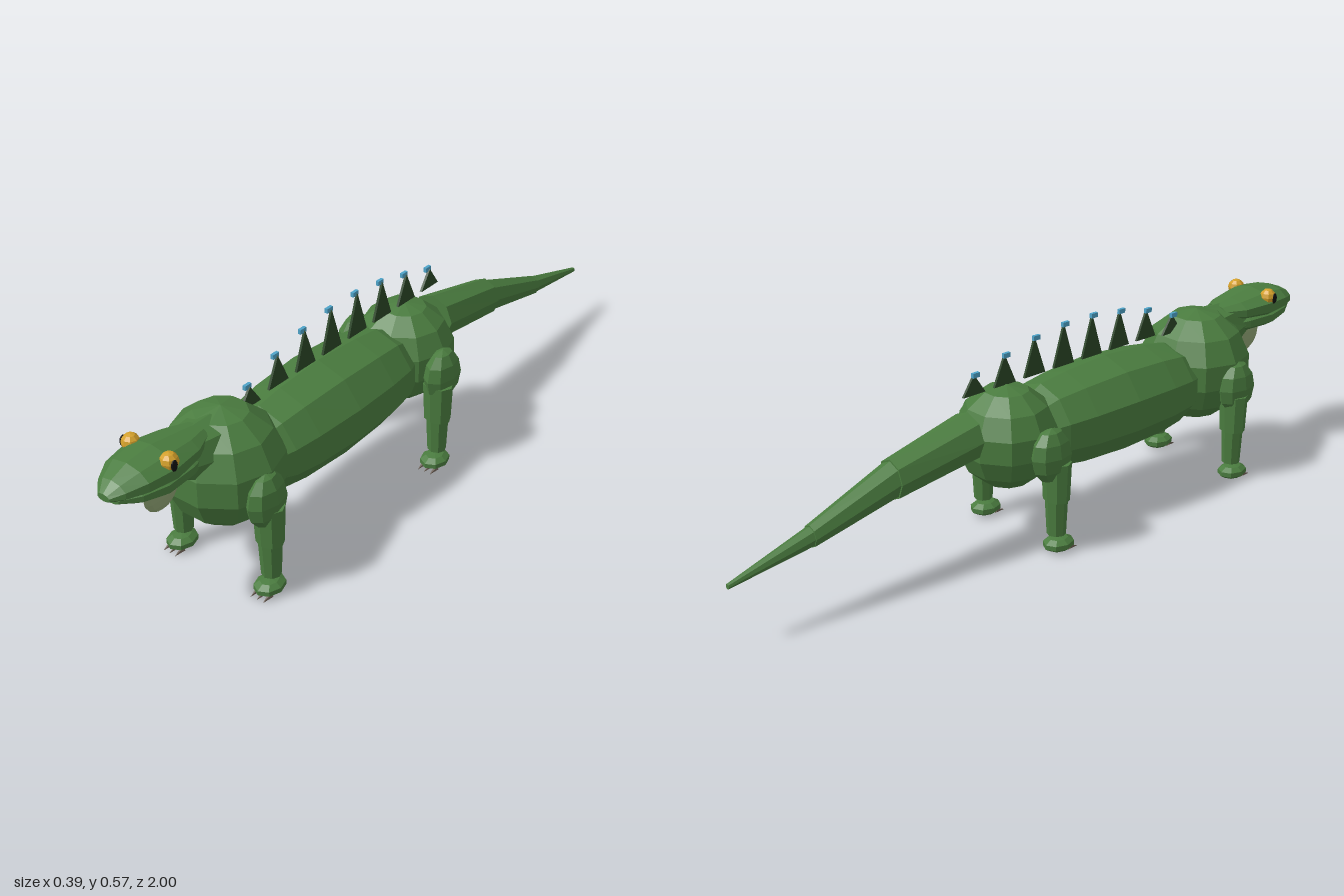
import * as THREE from 'three';

const mat = (name, color) => {
  const m = new THREE.MeshStandardMaterial({ color, flatShading: true });
  m.name = name;
  return m;
};

// Closed loft along z from sections [z, centreY, radiusX, radiusY], z rising
function loft(sections, sides) {
  const pos = [], index = [];
  for (const [z, y, rx, ry] of sections) {
    for (let j = 0; j < sides; j++) {
      const a = (j / sides) * Math.PI * 2 + Math.PI / 2;
      pos.push(Math.cos(a) * rx, y + Math.sin(a) * ry, z);
    }
  }
  const last = (sections.length - 1) * sides, c0 = last + sides, c1 = c0 + 1;
  pos.push(0, sections[0][1], sections[0][0]);
  pos.push(0, sections.at(-1)[1], sections.at(-1)[0]);
  for (let j = 0; j < sides; j++) {
    const k = (j + 1) % sides;
    for (let i = 0; i < last; i += sides) {
      index.push(i + j, i + k, i + sides + k, i + j, i + sides + k, i + sides + j);
    }
    index.push(c0, k, j, c1, last + j, last + k);
  }
  const g = new THREE.BufferGeometry();
  g.setAttribute('position', new THREE.Float32BufferAttribute(pos, 3));
  g.setIndex(index);
  g.computeVertexNormals();
  return g;
}

export function createModel() {
  const root = new THREE.Group();
  root.name = 'lizard';
  const skin = mat('green skin', 0x4a7c3f);
  const dark = mat('dark green spines', 0x2a4526);
  const blue = mat('blue spine tips', 0x4ea3c8);
  const gold = mat('gold eyes', 0xd4a02a);
  const black = mat('black pupils', 0x111111);
  const pale = mat('pale dewlap', 0x8fa373);
  const claw = mat('grey claws', 0x6a5d52);

  const add = (name, geo, material, parent = root) => {
    const m = new THREE.Mesh(geo, material);
    m.name = name;
    parent.add(m);
    return m;
  };
  const ball = (name, [x, y, z], [rx, ry, rz], material, parent = root, w = 10, h = 7) =>
    add(name, new THREE.SphereGeometry(1, w, h).scale(rx, ry, rz).translate(x, y, z), material, parent);

  // Trunk
  add('belly', loft([
    [-0.04, 0.3, 0.108, 0.1], [0, 0.3, 0.125, 0.12], [0.09, 0.3, 0.138, 0.132], [0.24, 0.302, 0.147, 0.139],
    [0.39, 0.3, 0.138, 0.132], [0.47, 0.3, 0.127, 0.12], [0.52, 0.3, 0.108, 0.1],
  ], 10), skin);
  ball('chest', [0, 0.328, 0.605], [0.163, 0.164, 0.158], skin);
  ball('hips', [0, 0.308, -0.122], [0.143, 0.144, 0.14], skin);

  // Tail in three stepped tapers
  [
    [[-0.51, 0.296, 0.05, 0.056], [-0.255, 0.343, 0.066, 0.066]],
    [[-0.76, 0.222, 0.028, 0.03], [-0.505, 0.298, 0.046, 0.051]],
    [[-1, 0.171, 0.007, 0.007], [-0.755, 0.223, 0.026, 0.027]],
  ].forEach((s, i) => add(`tailSegment${i + 1}`, loft(s, 8), skin));

  // Neck, head and jaw
  add('neck', loft([[0.64, 0.405, 0.085, 0.08], [0.75, 0.418, 0.062, 0.066], [0.8, 0.435, 0.055, 0.045]], 8), skin);
  add('head', loft([
    [0.69, 0.462, 0.04, 0.02], [0.75, 0.458, 0.07, 0.034], [0.84, 0.46, 0.088, 0.045],
    [0.92, 0.458, 0.074, 0.039], [0.97, 0.451, 0.047, 0.026], [0.998, 0.444, 0.02, 0.01],
  ], 10), skin);
  add('jaw', loft([
    [0.7, 0.42, 0.045, 0.02], [0.77, 0.421, 0.07, 0.033], [0.86, 0.421, 0.077, 0.035],
    [0.93, 0.427, 0.062, 0.026], [0.98, 0.432, 0.03, 0.012],
  ], 10), skin);
  ball('dewlap', [0, 0.367, 0.82], [0.011, 0.06, 0.06], pale, root, 8, 8);

  // Row of thin back spines with blue tips
  for (let i = 0; i < 8; i++) {
    const z = 0.505 - i * 0.105, y = i === 0 ? 0.44 : 0.45;
    const h = 0.055 + 0.065 * Math.sin((i / 7) * Math.PI);
    const tri = new THREE.Shape([
      new THREE.Vector2(-0.037, 0), new THREE.Vector2(0.037, 0), new THREE.Vector2(0, h),
    ]);
    const geo = new THREE.ExtrudeGeometry(tri, { depth: 0.007, bevelEnabled: false });
    add('spine', geo.rotateY(Math.PI / 2).translate(0, y, z), dark);
    add('spineTip', new THREE.BoxGeometry(0.009, 0.013, 0.022).translate(-0.001, y + h, z + 0.003), blue);
  }

  for (const s of [-1, 1]) {
    const side = s > 0 ? 'left' : 'right';

    // Eye with a dark pupil on its outer side
    ball(`${side}Eye`, [s * 0.062, 0.488, 0.845], [0.024, 0.024, 0.024], gold, root, 8, 6);
    ball(`${side}Pupil`, [s * 0.083, 0.486, 0.85], [0.0049, 0.016, 0.01], black, root, 6, 6);

    // Legs
    for (const [end, z] of [['Front', 0.612], ['Hind', -0.08]]) {
      const leg = new THREE.Group();
      leg.name = `${side}${end}Leg`;
      leg.position.set(s * 0.15, 0, z);
      root.add(leg);
      ball('shoulder', [0, 0.29, end === 'Front' ? 0.008 : -0.018], [0.04, 0.077, 0.066], skin, leg, 8, 6);
      add('upperLeg', new THREE.CylinderGeometry(0.044, 0.039, 0.11, 8)
        .scale(1, 1, 0.85).translate(0, 0.213, 0), skin, leg);
      add('lowerLeg', new THREE.CylinderGeometry(0.031, 0.026, 0.105, 8).translate(0, 0.11, 0), skin, leg);
      ball('foot', [0, 0.026, 0.008], [0.039, 0.021, 0.048], skin, leg, 8, 5);
      for (const x of [-0.02, 0, 0.02]) {
        add('claw', new THREE.ConeGeometry(0.008, 0.032, 5).rotateX(Math.PI / 2 + 0.2)
          .translate(x, 0.011, 0.043), claw, leg);
      }
    }
  }
  return root;
}
